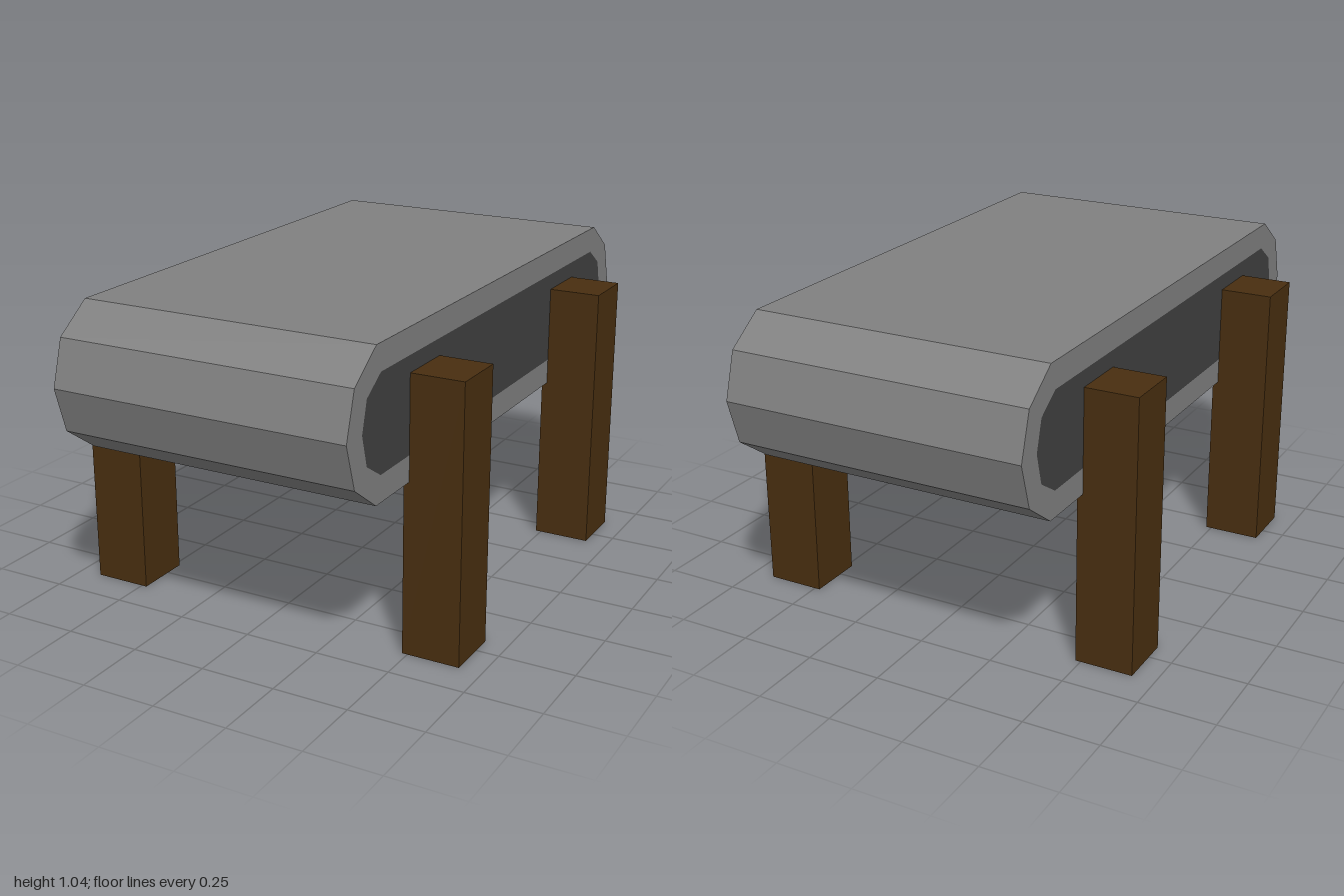
import * as THREE from 'three';

// Half outlines as [z, y], from top to bottom
const OUTER = [[0.83, 1.045], [0.955, 0.955], [1, 0.806], [0.955, 0.658], [0.83, 0.568]];
const INNER = [[0.803, 0.96], [0.885, 0.905], [0.912, 0.806], [0.885, 0.705], [0.803, 0.653]];
const WIDTH = 1;

// Mirrors a half outline into a closed loop
function loop(half) {
  const mirrored = half.map(([z, y]) => [-z, y]).reverse();
  return [...half, ...mirrored].map(([z, y]) => new THREE.Vector2(z, y));
}

// Extrudes a side profile across the width of the model
function extrudeAcross(shape) {
  const geometry = new THREE.ExtrudeGeometry(shape, { depth: WIDTH, bevelEnabled: false });
  return geometry.translate(0, 0, -WIDTH / 2).rotateY(-Math.PI / 2);
}

export function createModel() {
  const model = new THREE.Group();
  model.name = 'conveyor';

  const material = (color) => new THREE.MeshStandardMaterial({ color, flatShading: true });
  const add = (name, geometry, mat) => {
    const mesh = new THREE.Mesh(geometry, mat);
    mesh.name = name;
    model.add(mesh);
    return mesh;
  };

  // Belt: a closed band with faceted ends
  const band = new THREE.Shape(loop(OUTER));
  band.holes.push(new THREE.Path(loop(INNER)));
  add('belt', extrudeAcross(band), material(0x808080));

  // Dark core filling the band, flush with its sides
  add('core', extrudeAcross(new THREE.Shape(loop(INNER))), material(0x404040));

  // Four wooden legs set slightly into the sides
  const wood = material(0x482e10);
  const legGeometry = new THREE.BoxGeometry(0.192, 0.906, 0.192);
  for (const [side, sx] of [['Left', 1], ['Right', -1]]) {
    for (const [end, sz] of [['front', 1], ['back', -1]]) {
      add(`${end}${side}Leg`, legGeometry, wood).position.set(sx * 0.578, 0.453, sz * 0.529);
    }
  }
  return model;
}
